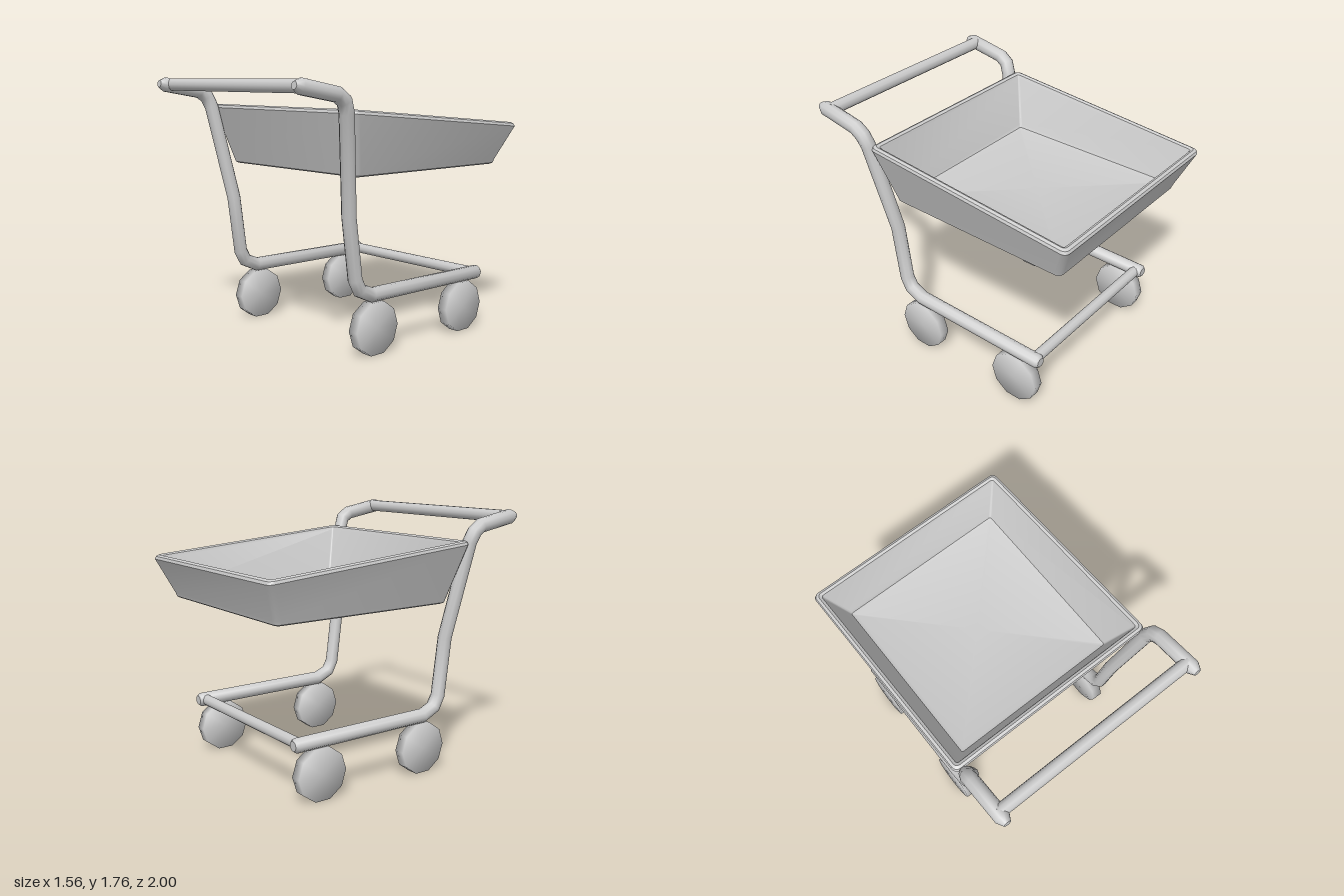
import * as THREE from 'three';
import { mergeVertices, toCreasedNormals } from 'three/addons/utils/BufferGeometryUtils.js';

const grey = new THREE.MeshStandardMaterial({ color: 0xcccccc });

function addMesh(parent, name, geometry) {
  const mesh = new THREE.Mesh(geometry, grey);
  mesh.name = name;
  parent.add(mesh);
  return mesh;
}

// Closed loft through rings of equal length, with a fan over each end
function loft(rings) {
  const n = rings[0].length, pos = [], index = [];
  rings.flat().forEach((p) => pos.push(p.x, p.y, p.z));
  for (let i = 0; i < rings.length - 1; i++) {
    for (let j = 0; j < n; j++) {
      const a = i * n + j, b = i * n + (j + 1) % n;
      index.push(a, b, b + n, a, b + n, a + n);
    }
  }
  [0, rings.length - 1].forEach((r) => {
    const c = new THREE.Vector3();
    rings[r].forEach((p) => c.addScaledVector(p, 1 / n));
    const k = pos.length / 3;
    pos.push(c.x, c.y, c.z);
    for (let j = 0; j < n; j++) {
      const a = r * n + j, b = r * n + (j + 1) % n;
      if (r === 0) index.push(k, b, a);
      else index.push(k, a, b);
    }
  });
  const g = new THREE.BufferGeometry();
  g.setAttribute('position', new THREE.Float32BufferAttribute(pos, 3));
  g.setIndex(index);
  return g;
}

// Bent tube: each path point is [x, y, z, radius]
function tubeGeometry(path, sides = 10) {
  const pts = path.map(([x, y, z]) => new THREE.Vector3(x, y, z));
  const dir = (a, b) => pts[b].clone().sub(pts[a]).normalize();
  const last = pts.length - 1;
  const rings = pts.map((p, i) => {
    const t = new THREE.Vector3();
    if (i > 0) t.add(dir(i - 1, i));
    if (i < last) t.add(dir(i, i + 1));
    t.normalize();
    const s = new THREE.Vector3(1, 0, 0).addScaledVector(t, -t.x).normalize();
    const b = t.clone().cross(s);
    return Array.from({ length: sides }, (_, j) => {
      const a = (j / sides) * Math.PI * 2;
      return p.clone().addScaledVector(s, path[i][3] * Math.cos(a)).addScaledVector(b, path[i][3] * Math.sin(a));
    });
  });
  return toCreasedNormals(loft(rings), 0.9);
}

// Hollow tray with flared walls, a rounded rim and a top that slopes to the back
function basketGeometry() {
  const lerp = THREE.MathUtils.lerp;
  // [inset from outer wall, 0 = base or 1 = rim, height offset]
  const profile = [
    [0.045, 0, 0], [0.022, 0, 0.003], [0.007, 0, 0.012], [0, 0, 0.035],
    [0, 1, -0.027], [0.007, 1, -0.009], [0.025, 1, 0], [0.043, 1, -0.009], [0.05, 1, -0.027],
    [0.05, 0, 0.08], [0.06, 0, 0.057], [0.085, 0, 0.047],
  ];
  const rings = profile.map(([inset, t, dy]) => {
    const hx = lerp(0.66, 0.757, t) - inset;
    const z0 = lerp(-0.9, -1, t) + inset, z1 = lerp(0.455, 0.555, t) - inset;
    const hz = (z1 - z0) / 2, r = Math.max(0.012, 0.04 - inset * 0.5);
    const ring = [];
    for (let c = 0; c < 4; c++) {
      const sx = c === 0 || c === 3 ? 1 : -1, sz = c < 2 ? 1 : -1;
      for (let k = 0; k <= 4; k++) {
        const a = (c + k / 4) * Math.PI / 2;
        const x = -0.012 + sx * (hx - r) + r * Math.cos(a);
        const z = (z0 + z1) / 2 + sz * (hz - r) + r * Math.sin(a);
        const y = (t ? 1.575 - 0.0836 * (0.555 - z) : 1.15) + dy;
        ring.push(new THREE.Vector3(x, y, z));
      }
    }
    return ring.reverse();
  });
  return toCreasedNormals(loft(rings), 0.55);
}

// Ten-sided disc with normals blended over its edge
function wheelGeometry() {
  const g = new THREE.CylinderGeometry(0.181, 0.181, 0.075, 10).rotateZ(Math.PI / 2);
  g.deleteAttribute('uv');
  g.deleteAttribute('normal');
  const merged = mergeVertices(g);
  merged.computeVertexNormals();
  return merged;
}

function barGeometry(length, radius) {
  return new THREE.CylinderGeometry(radius, radius, length, 10).rotateZ(Math.PI / 2);
}

export function createModel() {
  const cart = new THREE.Group();
  cart.name = 'cart';

  addMesh(cart, 'basket', basketGeometry());

  // Side rails run from the handle tip down and back to the rear foot
  const rail = [
    [0.73, 1.718, 1.0, 0.025], [0.73, 1.712, 0.955, 0.05], [0.73, 1.663, 0.68, 0.05],
    [0.728, 1.625, 0.625, 0.05], [0.715, 1.555, 0.595, 0.049], [0.617, 0.91, 0.487, 0.048],
    [0.617, 0.51, 0.435, 0.048], [0.617, 0.435, 0.395, 0.049], [0.617, 0.39, 0.295, 0.049],
    [0.617, 0.387, -0.735, 0.048], [0.617, 0.387, -0.754, 0.033],
  ];
  const wheel = wheelGeometry();
  for (const side of [1, -1]) {
    const label = side > 0 ? 'left' : 'right';
    addMesh(cart, label + 'Rail', tubeGeometry(rail.map(([x, y, z, r]) => [x * side, y, z, r])));
    addMesh(cart, label + 'FrontWheel', wheel).position.set(0.62 * side, 0.1725, 0.275);
    addMesh(cart, label + 'RearWheel', wheel).position.set(0.62 * side, 0.1725, -0.559);
  }

  // Cross bars
  addMesh(cart, 'handleBar', barGeometry(1.46, 0.043)).position.set(0, 1.713, 0.915);
  addMesh(cart, 'rearCrossBar', barGeometry(1.22, 0.038)).position.set(0, 0.387, -0.7);

  return cart;
}
